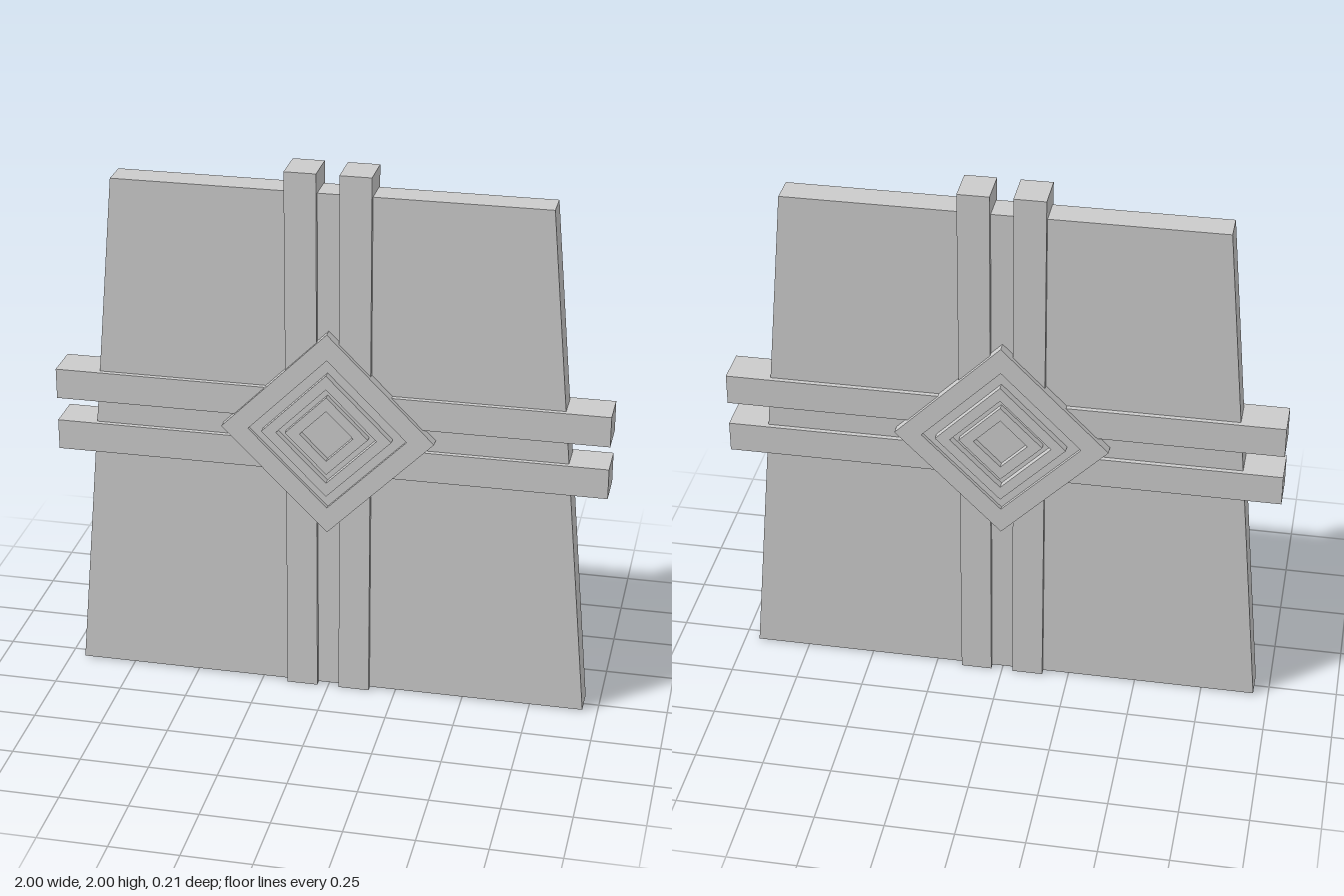
import * as THREE from 'three';

const CENTER_Y = 1.035;

export function createModel() {
  const model = new THREE.Group();
  const material = new THREE.MeshStandardMaterial({ color: 0xcccccc, flatShading: true });

  const add = (name, geometry, x = 0, y = 0) => {
    const mesh = new THREE.Mesh(geometry, material);
    mesh.name = name;
    mesh.position.set(x, y, 0);
    model.add(mesh);
  };

  // Extrusion centred on z = 0
  const slab = (shape, depth) =>
    new THREE.ExtrudeGeometry(shape, { depth, bevelEnabled: false }).translate(0, 0, -depth / 2);

  const polygon = (points) => points.map(([x, y]) => new THREE.Vector2(x, y));
  const diamond = (r) => polygon([[r, 0], [0, r], [-r, 0], [0, -r]]);

  // Tapered panel
  add('panel', slab(new THREE.Shape(polygon([[-0.945, 0.005], [0.945, 0.005], [0.775, 1.925], [-0.775, 1.925]])), 0.106));

  // Crossing pairs of bars
  for (const side of [-1, 1]) {
    add('verticalBar', new THREE.BoxGeometry(0.113, 2, 0.144), side * 0.097, 1);
    add('horizontalBar', new THREE.BoxGeometry(2, 0.113, 0.142), 0, CENTER_Y + side * 0.1);
  }

  // Central diamond: a recessed plate with concentric raised frames on both faces
  add('diamondPlate', slab(new THREE.Shape(diamond(0.3)), 0.15), 0, CENTER_Y);
  const frames = [
    ['outerDiamondFrame', 0.385, 0.287, 0.18],
    ['middleDiamondFrame', 0.235, 0.182, 0.208],
    ['innerDiamondFrame', 0.15, 0.097, 0.2],
  ];
  for (const [name, outer, inner, depth] of frames) {
    const shape = new THREE.Shape(diamond(outer));
    shape.holes.push(new THREE.Path(diamond(inner).reverse()));
    add(name, slab(shape, depth), 0, CENTER_Y);
  }

  return model;
}
